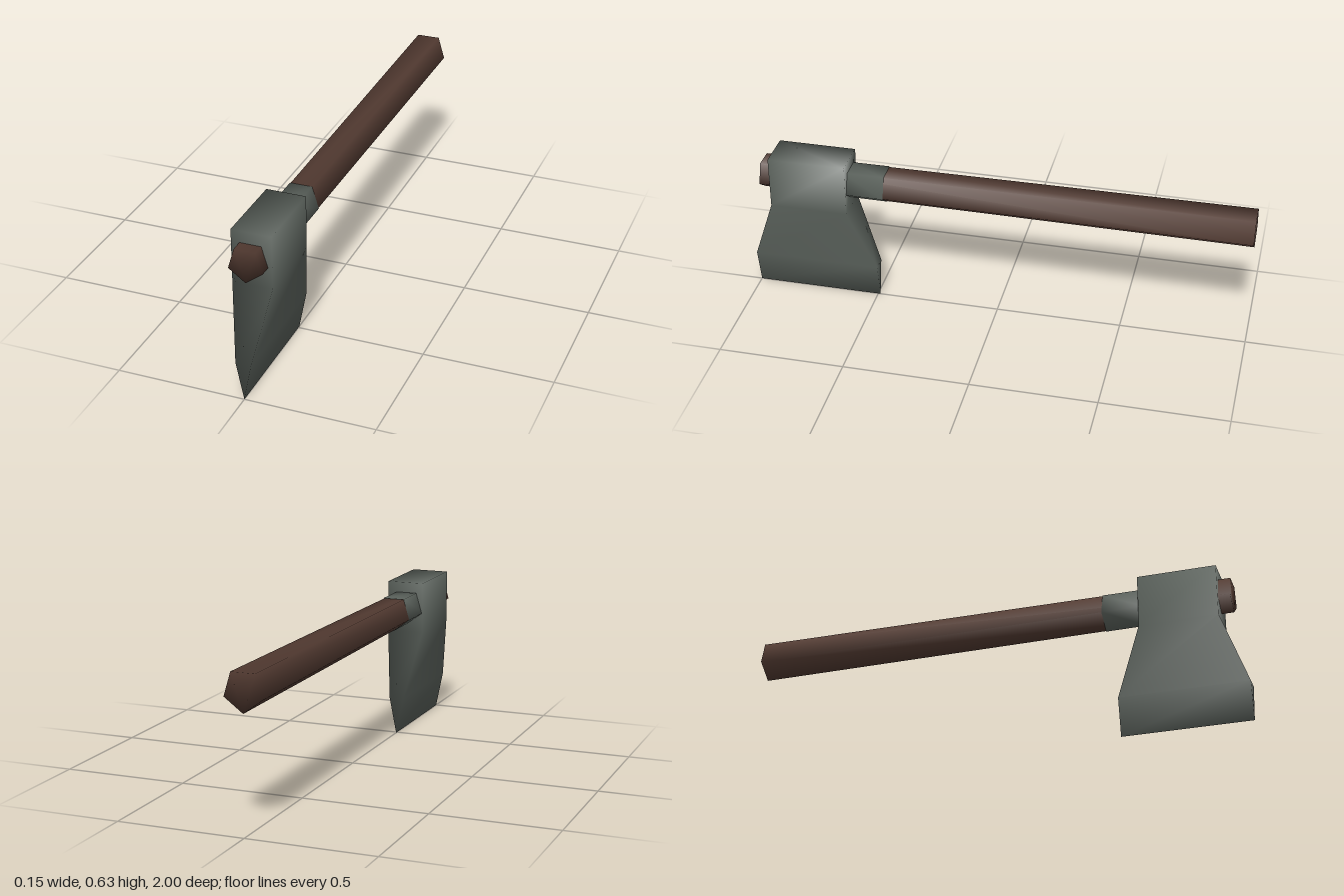
import * as THREE from 'three';
import { mergeVertices } from 'three/addons/utils/BufferGeometryUtils.js';

// Skin equal-length rings into a closed, welded, smooth-shaded solid.
// Rings run anticlockwise seen from the end of the loft.
function loft(rings) {
  const n = rings[0].length;
  const index = [];
  for (let r = 0; r < rings.length - 1; r++) {
    for (let i = 0; i < n; i++) {
      const a = r * n + i, b = r * n + (i + 1) % n;
      index.push(a, b, b + n, a, b + n, a + n);
    }
  }
  const last = (rings.length - 1) * n;
  for (let i = 1; i < n - 1; i++) {
    index.push(0, i + 1, i, last, last + i, last + i + 1);
  }
  let geometry = new THREE.BufferGeometry();
  geometry.setAttribute('position', new THREE.Float32BufferAttribute(rings.flat(2), 3));
  geometry.setIndex(index);
  geometry = mergeVertices(geometry, 1e-4);
  geometry.computeVertexNormals();
  return geometry;
}

// Five-sided section of the shaft, point downwards
const pentagon = [[0, -0.065], [0.065, -0.017], [0.041, 0.063], [-0.041, 0.063], [-0.065, -0.017]];
const shaftRing = (z, scale) =>
  pentagon.map(([x, y]) => [x * scale - 0.004, y * scale + 0.52, z]);

// Four-cornered section of the blade at height y
const bladeRing = (y, halfWidth, back, front) => [
  [-halfWidth, y, front], [halfWidth, y, front], [halfWidth, y, back], [-halfWidth, y, back],
];

export function createModel() {
  const group = new THREE.Group();
  const steel = new THREE.MeshStandardMaterial({ color: 0x5b625c });
  steel.name = 'grey steel';
  const wood = new THREE.MeshStandardMaterial({ color: 0x523a31 });
  wood.name = 'dark wood';

  const add = (name, rings, material) => {
    const mesh = new THREE.Mesh(loft(rings), material);
    mesh.name = name;
    group.add(mesh);
  };

  // Wedge head, flaring to a sharp edge
  add('axeHead', [
    bladeRing(0, 0, 0.49, 1),
    bladeRing(0.15, 0.03, 0.49, 1),
    bladeRing(0.42, 0.077, 0.592, 0.902),
    bladeRing(0.63, 0.077, 0.592, 0.902),
  ], steel);

  // Shaft, slightly thicker towards the grip
  add('handle', [shaftRing(-1, 1.13), shaftRing(0.95, 1)], wood);

  // Metal sleeve behind the head
  add('collar', [shaftRing(0.445, 1.07), shaftRing(0.61, 1.06)], steel);

  return group;
}
